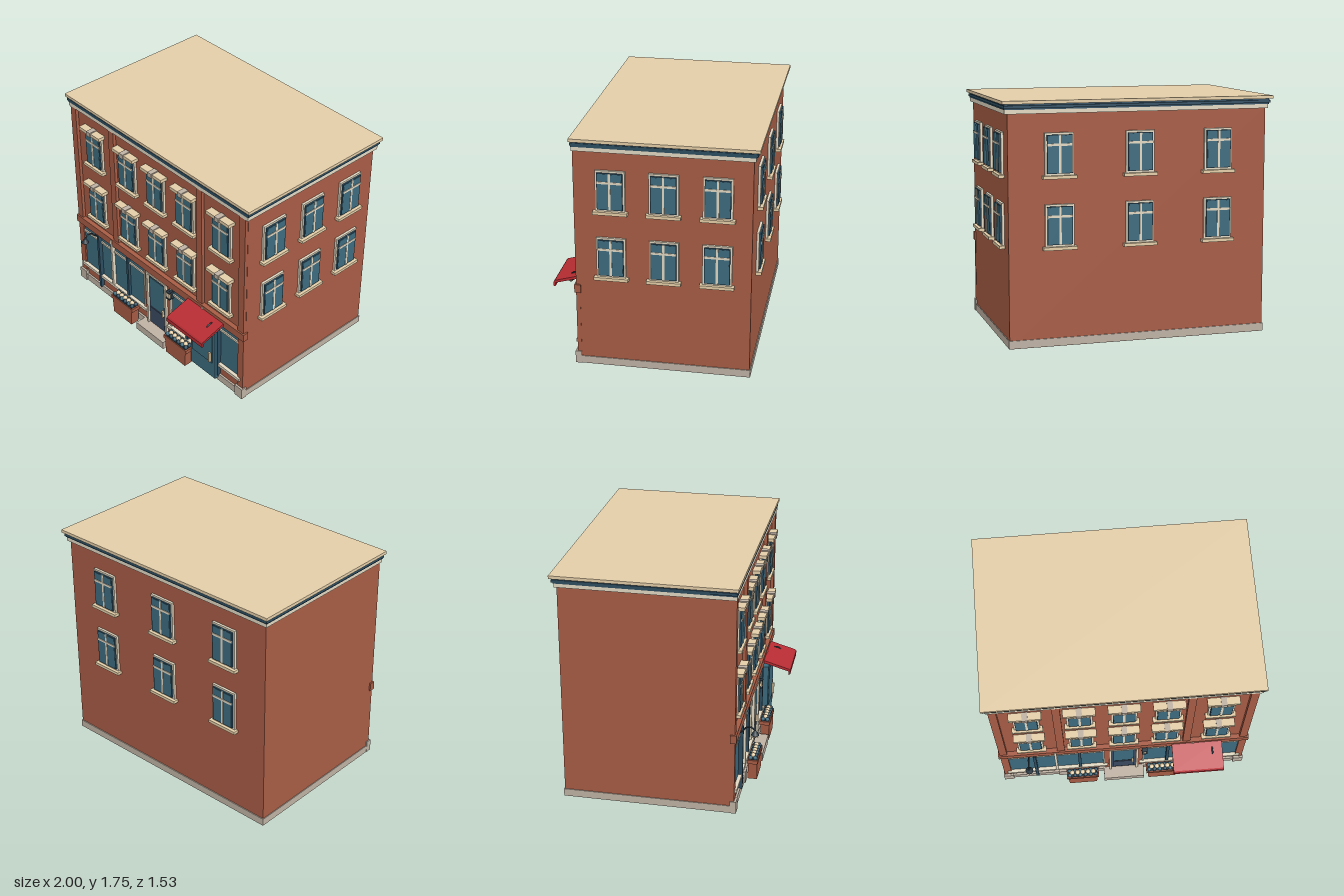
import * as THREE from 'three';

const M = {};
for (const [name, hex] of Object.entries({
  brick: 0xa75c45, stone: 0xbfb2a4, cream: 0xe2d8c2, beige: 0xe4cea8, glass: 0x3d6b7e,
  darkTeal: 0x2c4d60, navy: 0x3a4a60, metal: 0x2b3a44, red: 0xb82d33, underside: 0x8e6a59,
})) {
  M[name] = new THREE.MeshStandardMaterial({ color: hex });
  M[name].name = name;
}

function add(parent, name, geo, mat, x = 0, y = 0, z = 0) {
  const m = new THREE.Mesh(geo, M[mat]);
  m.name = name;
  m.position.set(x, y, z);
  parent.add(m);
  return m;
}

// Box given by its extents along each axis
function box(parent, name, mat, x0, x1, y0, y1, z0, z1) {
  return add(parent, name, new THREE.BoxGeometry(x1 - x0, y1 - y0, z1 - z0), mat,
    (x0 + x1) / 2, (y0 + y1) / 2, (z0 + z1) / 2);
}

function group(parent, name, x = 0, y = 0, z = 0) {
  const g = new THREE.Group();
  g.name = name;
  g.position.set(x, y, z);
  parent.add(g);
  return g;
}

// Sash window facing +z; origin at the bottom centre on the wall
function makeWindow(parent, x, y, z, w, lintel) {
  const g = group(parent, 'window', x, y, z), h = 0.3, a = w / 2, f = 0.014, s = f + 0.005;
  box(g, 'windowFrame', 'cream', -a, a, 0, h, 0, 0.018);
  box(g, 'windowSash', 'darkTeal', -a + f, a - f, f, h - f, 0, 0.03);
  box(g, 'windowGlass', 'glass', -a + s, a - s, s, h - s, 0.028, 0.032);
  box(g, 'windowMullion', 'cream', -0.008, 0.008, f, h - f, 0.03, 0.035);
  box(g, 'windowTransom', 'cream', -a + f, a - f, 0.208, 0.225, 0.03, 0.036);
  box(g, 'windowSill', 'beige', -a - 0.018, a + 0.018, -0.023, 0, 0, 0.042);
  if (lintel) {
    box(g, 'lintel', 'beige', -0.117, 0.117, h, h + 0.027, 0, 0.058);
    box(g, 'keystone', 'stone', -0.021, 0.021, h - 0.004, h + 0.035, 0, 0.066);
  }
  return g;
}

// Shop window between x0 and x1 (mirrored by s)
function makeShopFront(parent, s) {
  const g = group(parent, s < 0 ? 'leftShopFront' : 'rightShopFront');
  const span = (name, mat, a, b, ...rest) =>
    box(g, name, mat, Math.min(s * a, s * b), Math.max(s * a, s * b), ...rest);
  span('shopGlass', 'glass', 0.16, 0.9, 0.18, 0.575, 0.51, 0.528);
  span('bulkhead', 'brick', 0.12, 0.93, 0.06, 0.157, 0.51, 0.53);
  span('shopSill', 'cream', 0.125, 0.93, 0.155, 0.18, 0.51, 0.555);
  span('shopTransom', 'cream', 0.16, 0.9, 0.5, 0.518, 0.51, 0.538);
  span('shopEdge', 'cream', 0.15, 0.162, 0.18, 0.575, 0.51, 0.54);
  span('centreMullion', 'cream', 0.522, 0.541, 0.18, 0.622, 0.51, 0.556);
  span('innerPost', 'darkTeal', 0.335, 0.357, 0.18, 0.575, 0.51, 0.55);
  span('outerPost', 'darkTeal', 0.684, 0.706, 0.06, 0.575, 0.51, 0.56);
  span('doorPier', 'brick', 0.115, 0.15, 0.06, 0.575, 0.51, 0.535);
  span('cornerPier', 'brick', 0.9, 0.957, 0.003, 0.575, 0.51, 0.54);
  span('frontPlinth', 'stone', 0.115, 0.93, 0.003, 0.065, 0.51, 0.545);
  span('cornerBlock', 'stone', 0.888, 0.966, 0.003, 0.097, 0.51, 0.556);
  span('pierBlock', 'stone', 0.455, 0.522, 0.003, 0.097, 0.51, 0.556);
}

// Tapered planter with a row of flowers
function makePlanter(parent, x) {
  const g = group(parent, 'planter', x, 0, 0.595);
  const body = new THREE.BoxGeometry(0.235, 0.14, 0.07), p = body.attributes.position;
  for (let i = 0; i < p.count; i++) if (p.getY(i) < 0) p.setX(i, p.getX(i) * 0.93);
  body.computeVertexNormals();
  add(g, 'planterBody', body, 'brick', 0, 0.07, 0);
  box(g, 'planterRim', 'brick', -0.128, 0.128, 0.135, 0.165, -0.04, 0.04);
  box(g, 'planterSoil', 'metal', -0.115, 0.115, 0.165, 0.17, -0.033, 0.033);
  for (let i = 0; i < 6; i++) {
    const px = -0.105 + i * 0.042;
    for (const dz of [-0.018, 0.018])
      add(g, 'leaves', new THREE.SphereGeometry(0.017, 8, 6), i % 2 ? 'darkTeal' : 'glass', px, 0.178, dz);
    if (i < 5) add(g, 'flower', new THREE.SphereGeometry(0.019, 10, 8), 'beige', px + 0.021, 0.189, 0);
  }
}

// Gooseneck wall lamp
function makeLamp(parent, x) {
  const g = group(parent, 'wallLamp', x, 0, 0);
  const path = new THREE.CatmullRomCurve3([[0.515, 0.54], [0.555, 0.555], [0.585, 0.59],
    [0.625, 0.594], [0.65, 0.57]].map(([z, y]) => new THREE.Vector3(0, y, z)));
  add(g, 'lampArm', new THREE.TubeGeometry(path, 16, 0.006, 6), 'metal');
  add(g, 'lampShade', new THREE.CylinderGeometry(0.008, 0.03, 0.035, 16), 'metal', 0, 0.555, 0.65);
  add(g, 'lampBulb', new THREE.SphereGeometry(0.018, 12, 8), 'beige', 0, 0.533, 0.65);
}

export function createModel() {
  const root = new THREE.Group();
  root.name = 'cornerBuilding';

  // Main volume, plinth and cornice
  box(root, 'floorPlate', 'underside', -0.957, 0.955, 0, 0.004, -0.722, 0.54);
  box(root, 'walls', 'brick', -0.957, 0.955, 0.003, 1.67, -0.72, 0.515);
  box(root, 'plinth', 'stone', -0.963, 0.961, 0.003, 0.06, -0.727, 0.512);
  box(root, 'corniceBase', 'cream', -0.972, 0.978, 1.66, 1.697, -0.735, 0.543);
  box(root, 'corniceBand', 'darkTeal', -0.986, 0.986, 1.7, 1.72, -0.75, 0.548);
  box(root, 'corniceRecess', 'darkTeal', -0.978, 0.98, 1.69, 1.74, -0.74, 0.544);
  box(root, 'roof', 'beige', -1, 1, 1.73, 1.753, -0.765, 0.555);
  box(root, 'beltCourse', 'brick', -0.968, 0.966, 0.572, 0.636, 0.505, 0.551);
  for (const x of [-0.928, -0.484, 0.484, 0.924])
    box(root, 'pilaster', 'brick', x - 0.029, x + 0.029, 0.63, 1.665, 0.51, 0.54);

  // Windows on the front, the left side and the back
  for (const y of [0.722, 1.226]) {
    for (const x of [-0.706, -0.322, 0, 0.322, 0.706]) makeWindow(root, x, y, 0.515, 0.19, true);
    for (const z of [0.275, -0.102, -0.48]) makeWindow(root, 0.955, y, z, 0.21).rotation.y = Math.PI / 2;
    for (const x of [-0.59, 0, 0.59]) makeWindow(root, x, y, -0.72, 0.21).rotation.y = Math.PI;
  }

  // Street level
  for (const s of [-1, 1]) makeShopFront(root, s);
  makePlanter(root, -0.332);
  makePlanter(root, 0.305);
  makeLamp(root, -0.74);
  makeLamp(root, 0.68);

  // Entrance door with step
  const door = group(root, 'entranceDoor');
  box(door, 'doorStep', 'stone', -0.16, 0.16, 0, 0.065, 0.51, 0.63);
  for (const s of [-1, 1]) box(door, 'doorJamb', 'cream', s * 0.106 - 0.009, s * 0.106 + 0.009, 0.065, 0.57, 0.51, 0.555);
  box(door, 'doorHead', 'cream', -0.097, 0.097, 0.554, 0.57, 0.51, 0.555);
  box(door, 'doorLeaf', 'navy', -0.097, 0.097, 0.065, 0.554, 0.51, 0.537);
  box(door, 'doorGlass', 'glass', -0.08, 0.08, 0.245, 0.525, 0.534, 0.542);
  box(door, 'doorPanel', 'navy', -0.08, 0.08, 0.085, 0.225, 0.534, 0.542);
  box(door, 'doorHandle', 'beige', 0.063, 0.076, 0.222, 0.282, 0.537, 0.558);

  // Shop door
  const shop = group(root, 'shopDoor');
  box(shop, 'shopDoorLeaf', 'glass', 0.43, 0.7, 0.037, 0.525, 0.51, 0.58);
  box(shop, 'shopDoorPanel', 'glass', 0.452, 0.672, 0.18, 0.5, 0.577, 0.586);
  box(shop, 'shopDoorHandle', 'beige', 0.646, 0.66, 0.19, 0.28, 0.584, 0.602);

  // Awning: side section drawn in (z, y) and extruded along x
  const sec = new THREE.Shape([[0.53, 0.615], [0.752, 0.552], [0.762, 0.54], [0.762, 0.507],
    [0.747, 0.507], [0.747, 0.533], [0.53, 0.593]].map(([z, y]) => new THREE.Vector2(-z, y)));
  const awning = add(root, 'awning', new THREE.ExtrudeGeometry(sec, { depth: 0.388, bevelEnabled: false }),
    'red', 0.37, 0, 0);
  awning.rotation.y = Math.PI / 2;

  // Lantern beside the entrance
  const lantern = group(root, 'lantern', 0.162, 0.51, 0.55);
  box(lantern, 'lanternBack', 'metal', -0.02, 0.02, -0.036, 0.036, -0.04, 0.006);
  box(lantern, 'lanternGlass', 'beige', -0.014, 0.014, -0.024, 0.024, 0, 0.02);
  box(lantern, 'lanternCap', 'metal', -0.021, 0.021, 0.024, 0.034, -0.01, 0.025);
  box(lantern, 'lanternFoot', 'metal', -0.021, 0.021, -0.034, -0.024, -0.01, 0.025);
  return root;
}
